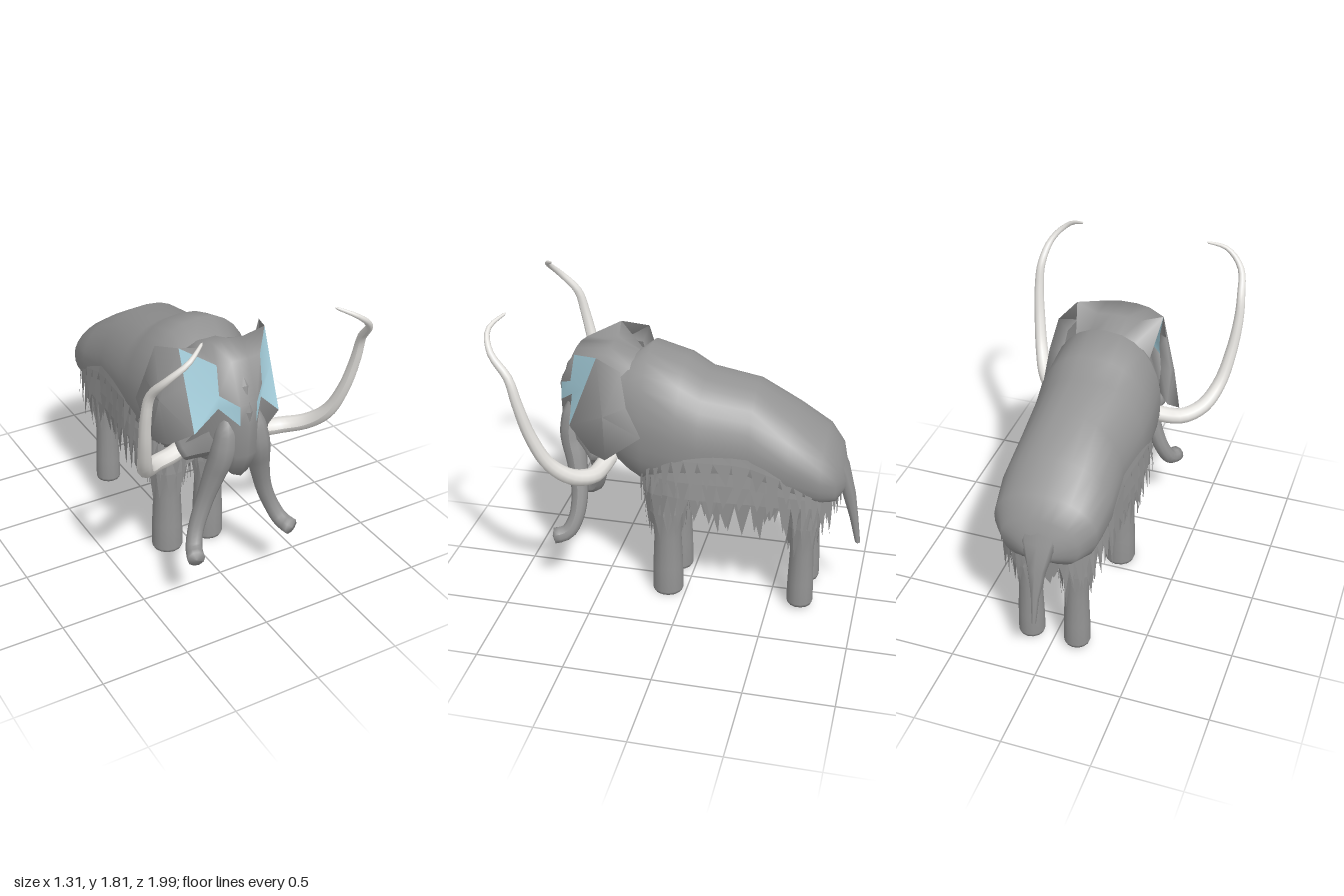
import * as THREE from 'three';

const hide = new THREE.MeshStandardMaterial({ color: 0x949494, side: THREE.DoubleSide });
hide.name = 'grey hide';
const ivory = new THREE.MeshStandardMaterial({ color: 0xe4e2de });
ivory.name = 'ivory';
const blue = new THREE.MeshStandardMaterial({ color: 0xadd8e6, side: THREE.DoubleSide });
blue.name = 'pale blue';

let seed = 7;
const rand = () => (seed = (seed * 16807) % 2147483647) / 2147483647;
const lerp = THREE.MathUtils.lerp;
const power = (u, e) => Math.sign(u) * Math.abs(u) ** e;

function add(parent, name, geometry, material = hide) {
  const mesh = new THREE.Mesh(geometry, material);
  mesh.name = name;
  parent.add(mesh);
  return mesh;
}

// Surface through rows of points; closed joins the last column to the first
function skin(rows, closed = false, keep = () => true) {
  const n = rows[0].length, index = [];
  for (let i = 0; i < rows.length - 1; i++) {
    for (let j = 0; j < (closed ? n : n - 1); j++) {
      if (!keep(i, j)) continue;
      const k = (j + 1) % n, a = i * n + j, b = i * n + k;
      index.push(a, a + n, b, b, a + n, b + n);
    }
  }
  const g = new THREE.BufferGeometry();
  g.setAttribute('position', new THREE.Float32BufferAttribute(rows.flat(2), 3));
  g.setIndex(index);
  g.computeVertexNormals();
  return g;
}

// Tube along points whose radius follows a list; the end closes bluntly
function taper(points, radii, sides = 10, segments = 28) {
  const curve = new THREE.CatmullRomCurve3(points.map(p => new THREE.Vector3(...p)));
  const g = new THREE.TubeGeometry(curve, segments, 1, sides, false);
  const pos = g.attributes.position, v = new THREE.Vector3();
  for (let i = 0; i <= segments; i++) {
    const c = curve.getPointAt(i / segments);
    const f = i / segments * (radii.length - 1), k = Math.min(Math.floor(f), radii.length - 2);
    const r = lerp(radii[k], radii[k + 1], f - k);
    const end = curve.getPointAt((i - 0.6) / segments < 0 ? 0 : (i - 0.6) / segments);
    for (let j = 0; j <= sides; j++) {
      const q = i * (sides + 1) + j;
      v.fromBufferAttribute(pos, q).sub(c).multiplyScalar(r).add(c);
      if (i === segments) v.copy(end);
      pos.setXYZ(q, v.x, v.y, v.z);
    }
  }
  g.computeVertexNormals();
  return g;
}

// Ring of hanging tufts; path(t, scale) gives x, z and a drop in height
function fringe(count, path, top, root, tip, spread) {
  const p = [];
  const at = (t, y, s) => { const [x, z, drop] = path(t, s); return [x, y - drop, z]; };
  for (let i = 0; i < count; i++) {
    const a = i / count, b = (i + 1) / count, m = (a + b) / 2 + (rand() - 0.5) * 0.6 / count;
    const low = tip + (rand() - 0.5) * 0.14, flare = spread + (rand() - 0.5) * 0.06;
    const A = at(a, root, 1), B = at(b, root, 1), C = at(b, top, 0.96), D = at(a, top, 0.96);
    p.push(...A, ...B, ...C, ...A, ...C, ...D, ...A, ...at(m, low, flare), ...B);
  }
  const g = new THREE.BufferGeometry();
  g.setAttribute('position', new THREE.Float32BufferAttribute(p, 3));
  g.computeVertexNormals();
  return g;
}

// Body and neck sections: z, top, bottom, half width
const sections = [
  [0.6, 1.3, 1.1, 0.05], [0.57, 1.42, 0.93, 0.15], [0.45, 1.47, 0.87, 0.21],
  [0.32, 1.45, 0.79, 0.29], [0.22, 1.53, 0.74, 0.33], [0.02, 1.47, 0.72, 0.34],
  [-0.1, 1.395, 0.72, 0.33], [-0.38, 1.35, 0.71, 0.305], [-0.6, 1.22, 0.72, 0.315],
  [-0.78, 1.1, 0.72, 0.29], [-0.86, 1.0, 0.73, 0.22], [-0.9, 0.87, 0.77, 0.08]];

function bodyWidth(z) {
  const i = Math.max(1, sections.findIndex(s => s[0] <= z));
  const [a, b] = [sections[i - 1], sections[i]];
  return lerp(a[3], b[3], (a[0] - z) / (a[0] - b[0]));
}

export function createModel() {
  const model = new THREE.Group();
  model.name = 'mammoth';

  // Ridged back above, straight flanks below
  add(model, 'body', skin(sections.map(([z, top, bottom, w]) =>
    Array.from({ length: 28 }, (_, i) => {
      const a = i / 28 * Math.PI * 2, c = Math.cos(a), s = Math.sin(a);
      return [w * power(c, s > 0 ? 0.85 : 0.5),
        (top + bottom) / 2 + (top - bottom) / 2 * power(s, s > 0 ? 1.1 : 0.9), z];
    })), true));

  // Shaggy coat in overlapping layers that follow the flanks
  const flank = (scale, front, back, slope) => (t, s) => {
    const a = t * Math.PI * 2;
    const z = (front + back) / 2 + (front - back) / 2 * power(Math.sin(a), 0.9);
    return [bodyWidth(z) * scale * s * power(Math.cos(a), 0.25), z, Math.max(0, -0.35 - z) * slope];
  };
  add(model, 'upperCoat', fringe(42, flank(1.02, 0.27, -0.86, 0.3), 1.07, 0.99, 0.8, 1.05));
  add(model, 'middleCoat', fringe(46, flank(1.0, 0.26, -0.87, 0.15), 0.95, 0.85, 0.68, 1.03));
  add(model, 'lowerCoat', fringe(42, flank(0.93, 0.23, -0.84, 0), 0.84, 0.73, 0.57, 0.98));
  add(model, 'bellyCoat', fringe(26, flank(0.65, 0, -0.6, 0), 0.78, 0.68, 0.52, 0.95));

  // Legs with fur cuffs
  for (const side of [1, -1]) {
    for (const [name, z, r, foot] of [['frontLeg', 0.11, 0.09, 0], ['hindLeg', -0.68, 0.075, 0.025]]) {
      const profile = [[0, foot], [r * 0.95, foot], [r * 1.03, foot + 0.02], [r, 0.18], [r * 0.9, 0.38],
        [r * 1.05, 0.55], [r * 1.5, 0.75], [r * 1.7, 0.9], [0, 1.0]].map(p => new THREE.Vector2(...p));
      const x = side * 0.137;
      add(model, name, new THREE.LatheGeometry(profile, 14)).position.set(x, 0, z);
      const cuff = (w) => (t, s) => {
        const a = t * Math.PI * 2;
        return [x + Math.cos(a) * w * s, z + Math.sin(a) * w * s, 0];
      };
      add(model, name + 'UpperFur', fringe(13, cuff(r * 1.6), 0.85, 0.72, 0.52, 0.85));
      add(model, name + 'LowerFur', fringe(12, cuff(r * 1.3), 0.7, 0.57, 0.4, 0.88));
    }
  }

  // Tail: y, middle z, half width, half depth
  const tail = [[1.0, -0.83, 0.12, 0.02], [0.87, -0.885, 0.1, 0.025], [0.72, -0.915, 0.055, 0.04],
    [0.55, -0.955, 0.024, 0.025], [0.39, -0.985, 0.013, 0.015], [0.38, -0.985, 0, 0]];
  add(model, 'tail', skin(tail.map(([y, z, w, d]) => Array.from({ length: 8 }, (_, i) => {
    const a = i / 8 * Math.PI * 2;
    return [Math.cos(a) * w, y, z - Math.sin(a) * d];
  })), true));

  // Head rows run from nape over the brow to the chin, centre to side
  const half = [
    [[0, 1.44, 0.28], [0.05, 1.44, 0.28], [0.13, 1.41, 0.29], [0.22, 1.3, 0.32]],
    [[0, 1.5, 0.45], [0.05, 1.5, 0.45], [0.13, 1.49, 0.45], [0.26, 1.53, 0.47]],
    [[0, 1.48, 0.65], [0.05, 1.48, 0.65], [0.13, 1.475, 0.635], [0.26, 1.53, 0.47]],
    [[0, 1.27, 0.755], [0.05, 1.26, 0.745], [0.13, 1.31, 0.665], [0.26, 1.34, 0.545]],
    [[0, 1.14, 0.765], [0.05, 1.15, 0.75], [0.13, 1.23, 0.66], [0.26, 1.1, 0.64]],
    [[0, 0.95, 0.755], [0.06, 0.95, 0.74], [0.14, 1.0, 0.66], [0.25, 0.98, 0.52]],
    [[0, 0.79, 0.69], [0.05, 0.81, 0.68], [0.1, 0.86, 0.62], [0.2, 0.88, 0.49]],
    [[0, 0.86, 0.52], [0.05, 0.86, 0.52], [0.1, 0.87, 0.5], [0.18, 0.9, 0.42]]];
  const flip = ([x, y, z]) => [-x, y, z];
  const head = half.map(r => [...r.slice(1).reverse().map(flip), ...r]);
  const painted = (i, j) => ((j === 0 || j === 5) && (i === 2 || i === 3)) || ((j === 1 || j === 4) && i === 3);
  add(model, 'head', skin(head, false, (i, j) => !painted(i, j)));
  add(model, 'facePatches', skin(head, false, painted), blue);

  // Small ridges down the brow
  for (const [y, z] of [[1.355, 0.71], [1.225, 0.757]]) {
    const ridge = add(model, 'browRidge', new THREE.OctahedronGeometry(1));
    ridge.position.set(0, y, z);
    ridge.scale.set(0.02, 0.06, 0.012);
    ridge.rotation.x = y > 1.3 ? -0.46 : -0.1;
  }

  for (const s of [1, -1]) {
    const mirror = (pts) => pts.map(([x, y, z]) => [x * s, y, z]);

    // Ear flap with a folded back face
    const rim = [[0.26, 1.53, 0.47], [0.32, 1.49, 0.32], [0.365, 1.3, 0.28], [0.375, 1.13, 0.2],
      [0.395, 0.98, 0.4], [0.34, 0.985, 0.5], [0.26, 1.1, 0.64], [0.26, 1.34, 0.545]];
    const outer = rim.map(() => [0.35, 1.22, 0.42]);
    const inner = rim.map(([x, y, z]) => [lerp(x, 0.24, 0.55), lerp(y, 1.24, 0.35), lerp(z, 0.4, 0.35)]);
    add(model, 'ear', skin([mirror(outer), mirror(rim), mirror(inner)], true));

    // Cheek socket and tusk
    add(model, 'cheek', taper(mirror([[0.08, 1.02, 0.56], [0.18, 0.95, 0.5], [0.27, 0.89, 0.455]]),
      [0.13, 0.09, 0.055], 8, 8));
    add(model, 'tusk', taper(mirror([[0.2, 0.9, 0.43], [0.3, 0.875, 0.45], [0.4, 0.875, 0.475],
      [0.5, 0.915, 0.56], [0.565, 1.02, 0.665], [0.605, 1.2, 0.745], [0.625, 1.4, 0.8],
      [0.62, 1.54, 0.84], [0.585, 1.66, 0.94], [0.49, 1.75, 0.98], [0.36, 1.812, 0.905]]),
      [0.05, 0.048, 0.044, 0.038, 0.033, 0.028, 0.022, 0.015, 0.006], 10, 40), ivory);

    // Trunk, one on each side of the muzzle
    add(model, 'trunk', taper(mirror([[0.08, 1.2, 0.66], [0.09, 1.08, 0.675], [0.11, 0.95, 0.675],
      [0.135, 0.84, 0.65], [0.165, 0.72, 0.63], [0.2, 0.6, 0.62], [0.245, 0.48, 0.635],
      [0.28, 0.4, 0.68], [0.308, 0.38, 0.76], [0.313, 0.38, 0.78]]),
      [0.02, 0.06, 0.07, 0.066, 0.058, 0.05, 0.047, 0.044, 0.046, 0.05], 10, 30));
  }
  return model;
}
